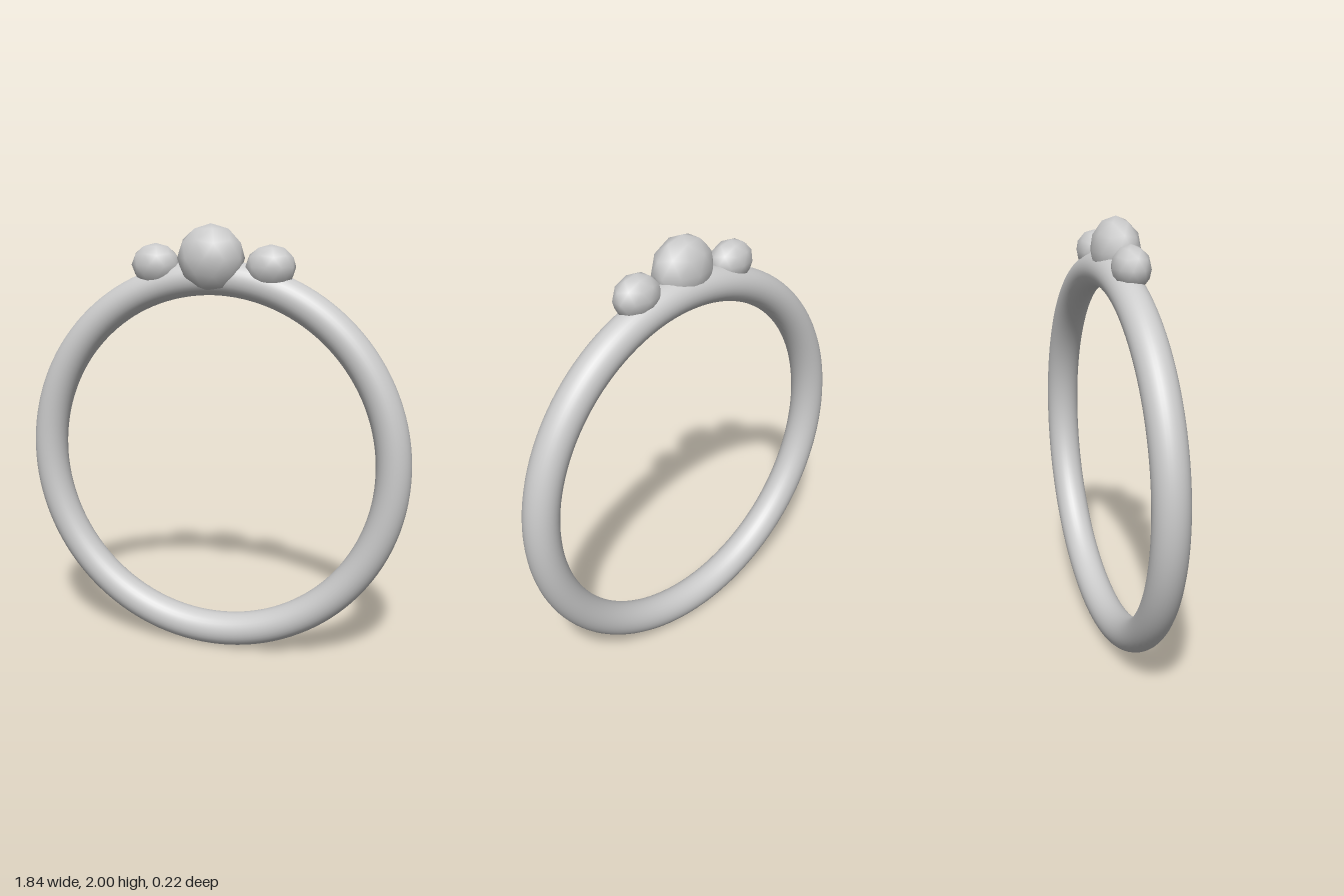
import * as THREE from 'three';

export function createModel() {
  const group = new THREE.Group();
  const material = new THREE.MeshStandardMaterial({ color: 0xcccccc });

  // Round band, set slightly behind the stones
  const band = new THREE.Mesh(new THREE.TorusGeometry(0.84, 0.079, 32, 128), material);
  band.name = 'band';
  band.position.set(0, 0.922, -0.036);
  group.add(band);

  // Coarse, smooth-shaded stone standing on one of its corners
  function addStone(name, position, size) {
    const geometry = new THREE.IcosahedronGeometry(1, 1);
    geometry.rotateZ(Math.PI / 2 - Math.atan2((1 + Math.sqrt(5)) / 2, 1));
    geometry.rotateY(Math.PI);
    geometry.scale(...size);
    const stone = new THREE.Mesh(geometry, material);
    stone.name = name;
    stone.position.set(...position);
    group.add(stone);
  }

  addStone('centreStone', [0, 1.85, 0], [0.155, 0.15, 0.11]);
  for (const [name, side] of [['leftStone', 1], ['rightStone', -1]]) {
    addStone(name, [side * 0.27, 1.815, -0.018], [0.114, 0.097, 0.083]);
  }

  return group;
}
